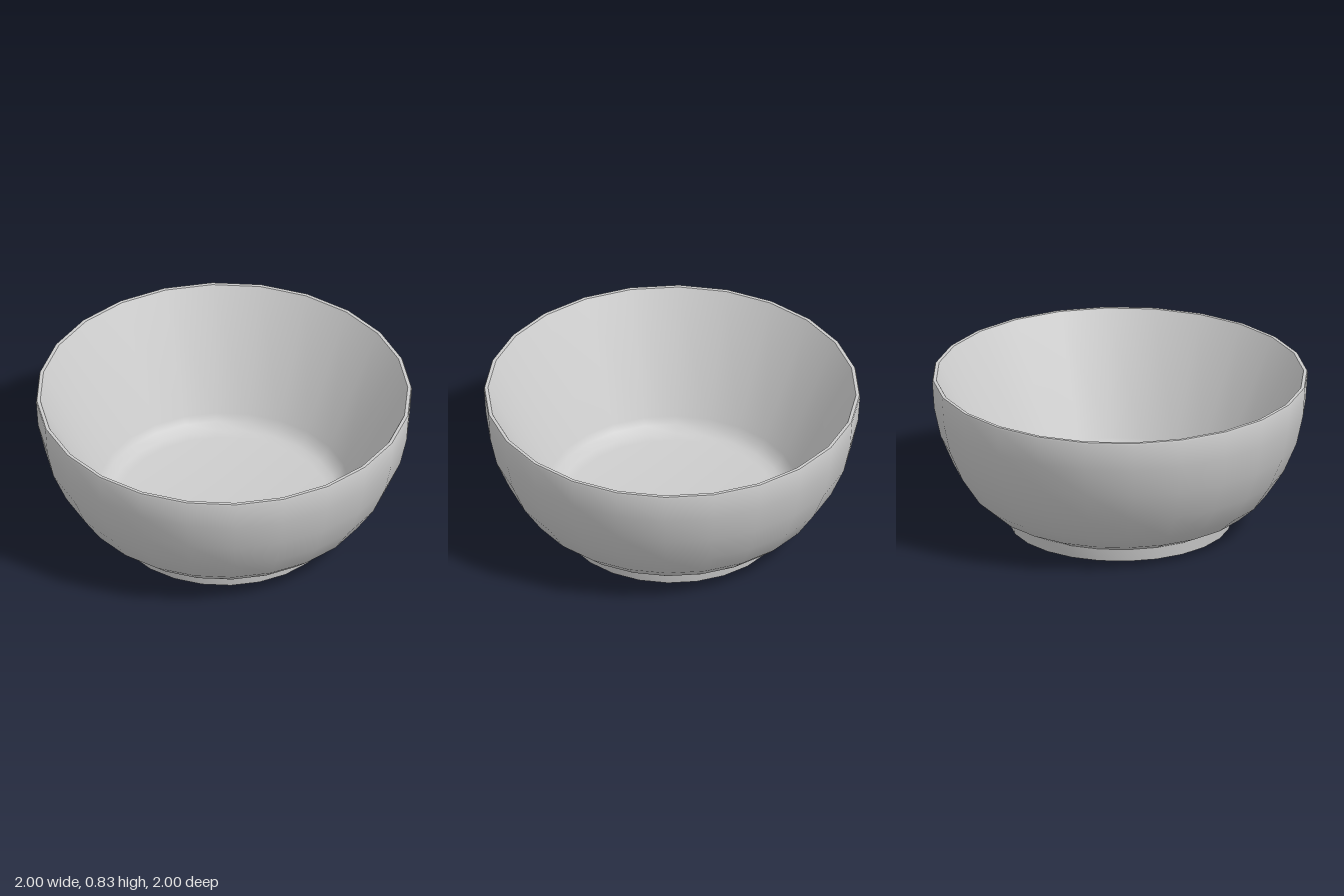
import * as THREE from 'three';
import { toCreasedNormals } from 'three/addons/utils/BufferGeometryUtils.js';

const SIDES = 24;

export function createModel() {
  const group = new THREE.Group();
  group.name = 'bowl';
  const material = new THREE.MeshStandardMaterial({ color: 0xcccccc });

  // Closed profile [radius, height]: underside, foot, outer wall, rim, straight inner wall, floor
  const profile = [
    [0, 0], [0.59, 0],
    [0.6, 0.07],
    [0.7, 0.12], [0.79, 0.2], [0.885, 0.345], [0.955, 0.51], [0.99, 0.67], [1, 0.82],
    [0.996, 0.83], [0.978, 0.83], [0.972, 0.82],
    [0.67, 0.21], [0.65, 0.17], [0.61, 0.14], [0.56, 0.13],
    [0, 0.13],
  ].map(([r, y]) => new THREE.Vector2(r, y));

  // Smooth walls with sharp edges at the rim and foot
  const geometry = toCreasedNormals(new THREE.LatheGeometry(profile, SIDES), 0.65);
  const body = new THREE.Mesh(geometry, material);
  body.name = 'bowlBody';
  group.add(body);
  return group;
}
